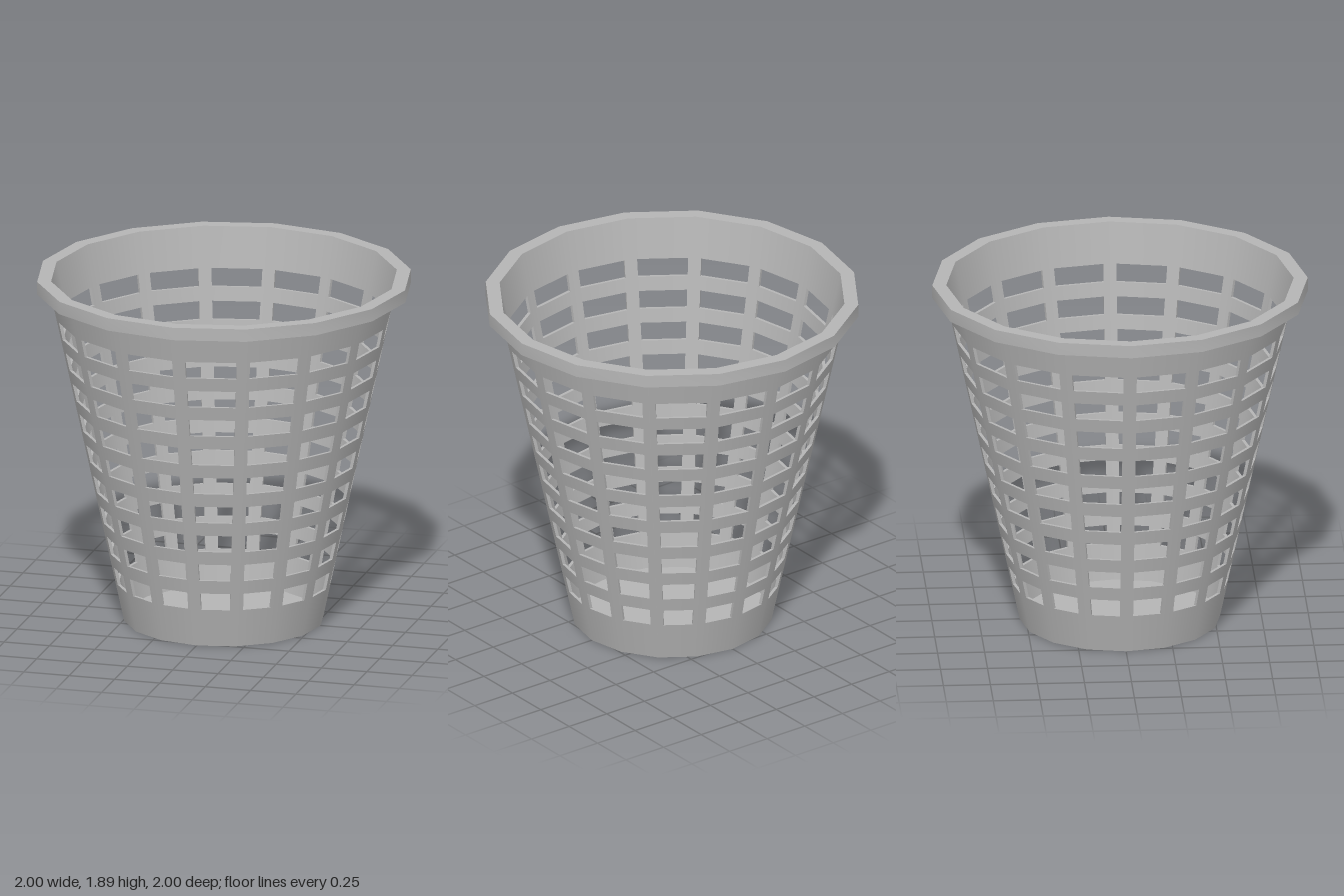
import * as THREE from 'three';
import { toCreasedNormals } from 'three/addons/utils/BufferGeometryUtils.js';

const SIDES = 16, HEIGHT = 1.895, THICK = 0.017, MARGIN = 0.036;
const ROWS = 9, FIRST_ROW = 0.212, ROW_STEP = 0.171, HOLE_HEIGHT = 0.096;
const STEP = (Math.PI * 2) / SIDES;
const SLOPE = 0.215;
const radiusAt = (y) => 0.533 + SLOPE * y;

// Horizontal direction on the flat panel, u running 0..1 across it
function panelDir(panel, u) {
  const a = panel * STEP, b = a + STEP;
  return new THREE.Vector3(
    THREE.MathUtils.lerp(Math.sin(a), Math.sin(b), u), 0,
    THREE.MathUtils.lerp(Math.cos(a), Math.cos(b), u));
}

// Tapered wall with a grid of rectangular openings in each panel
function wallGeometry() {
  const positions = [], normals = [];

  const point = (panel, u, y, inner) => {
    const p = panelDir(panel, u).multiplyScalar(radiusAt(y) - (inner ? THICK : 0));
    p.y = y;
    return p;
  };
  const quad = (pts, norms) => {
    const flat = new THREE.Vector3().subVectors(pts[1], pts[0])
      .cross(new THREE.Vector3().subVectors(pts[2], pts[0])).normalize();
    for (const i of [0, 1, 2, 0, 2, 3]) {
      positions.push(...pts[i].toArray());
      normals.push(...(norms ? norms[i] : flat).toArray());
    }
  };
  // u of the column lines at a height: panel edge, hole edge, hole edge, panel edge
  const columnU = (col, y) => {
    const m = MARGIN / (2 * radiusAt(y) * Math.sin(STEP / 2));
    return [0, m, 1 - m, 1][col];
  };

  const levels = [0];
  for (let r = 0; r < ROWS; r++) {
    const y = FIRST_ROW + r * ROW_STEP;
    levels.push(y, y + HOLE_HEIGHT);
  }
  levels.push(HEIGHT);

  for (let panel = 0; panel < SIDES; panel++) {
    for (let row = 0; row < levels.length - 1; row++) {
      for (let col = 0; col < 3; col++) {
        const y0 = levels[row], y1 = levels[row + 1];
        const corners = [[col, y0], [col + 1, y0], [col + 1, y1], [col, y1]]
          .map(([c, y]) => [columnU(c, y), y]);
        const o = corners.map(([u, y]) => point(panel, u, y, false));
        const i = corners.map(([u, y]) => point(panel, u, y, true));
        if (row % 2 === 1 && col === 1) {
          // Four reveals through the wall thickness
          for (let k = 0; k < 4; k++) {
            const n = (k + 1) % 4;
            quad([o[k], o[n], i[n], i[k]]);
          }
        } else {
          const no = corners.map(([u]) => panelDir(panel, u).setY(-SLOPE).normalize());
          const ni = no.map((n) => n.clone().negate());
          quad(o, no);
          quad([i[1], i[0], i[3], i[2]], [ni[1], ni[0], ni[3], ni[2]]);
        }
      }
    }
  }
  const geometry = new THREE.BufferGeometry();
  geometry.setAttribute('position', new THREE.Float32BufferAttribute(positions, 3));
  geometry.setAttribute('normal', new THREE.Float32BufferAttribute(normals, 3));
  return geometry;
}

export function createModel() {
  const group = new THREE.Group();
  group.name = 'basket';
  const plastic = new THREE.MeshStandardMaterial({ color: 0xb4b4b4 });
  plastic.name = 'grey plastic';

  const add = (name, geometry) => {
    const mesh = new THREE.Mesh(geometry, plastic);
    mesh.name = name;
    group.add(mesh);
    return mesh;
  };

  add('wall', wallGeometry());

  // Rim flange around the top of the wall
  const rimProfile = [[0.92, 1.827], [1, 1.827], [0.998, HEIGHT], [radiusAt(HEIGHT) - THICK, HEIGHT]]
    .map(([x, y]) => new THREE.Vector2(x, y));
  add('rim', toCreasedNormals(new THREE.LatheGeometry(rimProfile, SIDES), 0.6));

  // Solid floor
  add('floor', new THREE.CylinderGeometry(0.522, radiusAt(0), 0.02, SIDES)).position.y = 0.01;

  return group;
}
